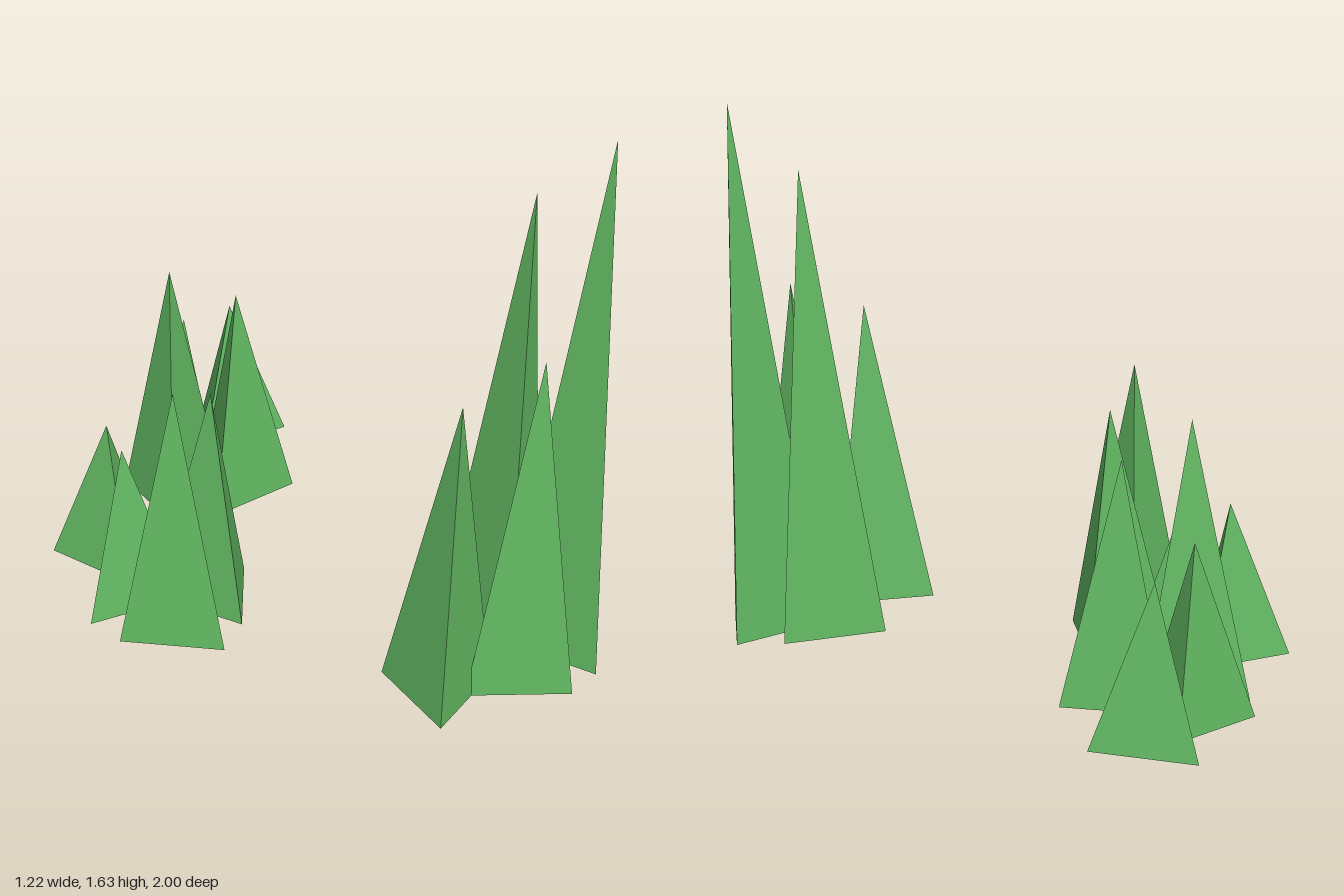
import * as THREE from 'three';

const deg = THREE.MathUtils.degToRad;

// Blades of one tuft: base centre x, z, height, heading of one base corner (degrees)
const BLADES = [
  [0, 0, 0.46, 38.5],
  [-0.237, 0.057, 0.51, 93],
  [-0.238, 0.322, 0.70, 31],
  [-0.418, 0.218, 0.80, 9],
];

// Tufts: base position, turn about y (degrees), height factor, up direction
const TUFTS = [
  { name: 'backTuft', at: [0.47, 0.02, -0.82], turn: 0, tall: 1, up: [0, 1, 0] },
  { name: 'sideTuft', at: [-0.325, 0.02, -0.445], turn: 50, tall: 1, up: [0, 1, 0] },
  { name: 'tallFrontTuft', at: [-0.072, 0.029, 0.765], turn: 148.2, tall: 2.03, up: [0.04, 1, 0.03] },
];

export function createModel() {
  const model = new THREE.Group();
  model.name = 'grassTufts';
  const green = new THREE.MeshStandardMaterial({ color: 0x62b862, flatShading: true });
  const yAxis = new THREE.Vector3(0, 1, 0);

  for (const { name, at, turn, tall, up } of TUFTS) {
    const tuft = new THREE.Group();
    tuft.name = name;

    // Three-sided pyramids standing on the tuft's base plane
    BLADES.forEach(([x, z, height, heading], i) => {
      const h = height * tall;
      const blade = new THREE.Mesh(new THREE.ConeGeometry(0.181, h, 3), green);
      blade.name = `blade${i + 1}`;
      blade.position.set(x, h / 2, z);
      blade.rotation.y = deg(90 - heading);
      tuft.add(blade);
    });

    // Turn the tuft, then lean it along its up direction
    tuft.position.set(...at);
    tuft.quaternion
      .setFromUnitVectors(yAxis, new THREE.Vector3(...up).normalize())
      .multiply(new THREE.Quaternion().setFromAxisAngle(yAxis, deg(turn)));
    model.add(tuft);
  }
  return model;
}
